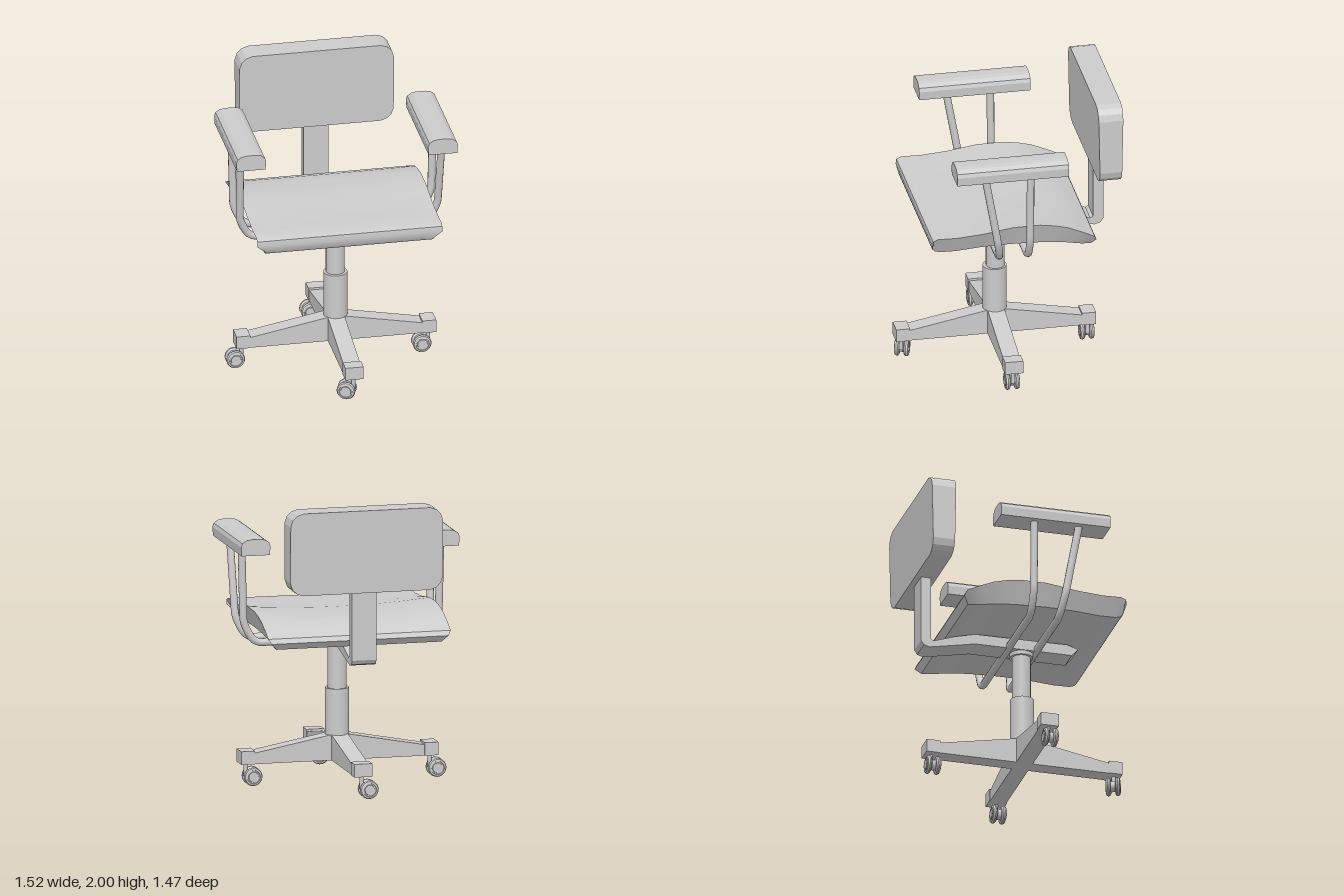
import * as THREE from 'three';
import { toCreasedNormals } from 'three/addons/utils/BufferGeometryUtils.js';

const grey = new THREE.MeshStandardMaterial({ color: 0xcccccc });
const V = (x, y, z) => new THREE.Vector3(x, y, z);

function add(parent, geo, name, x = 0, y = 0, z = 0) {
  const mesh = new THREE.Mesh(geo, grey);
  mesh.name = name;
  mesh.position.set(x, y, z);
  parent.add(mesh);
  return mesh;
}

// Extrude an outline along z, centred on z = 0
function slab(points, depth) {
  const shape = new THREE.Shape(points.map(p => new THREE.Vector2(p[0], p[1])));
  return new THREE.ExtrudeGeometry(shape, { depth, bevelEnabled: false }).translate(0, 0, -depth / 2);
}

// Extrude a (z, y) side outline across x
const sideSlab = (points, width) =>
  slab(points.map(([z, y]) => [-z, y]), width).rotateY(Math.PI / 2);

// Seat cushion: a wavy side profile swept across x, dished on top, narrower below
function seatGeometry() {
  const top = [[0.59, 1.14], [0.585, 1.175], [0.55, 1.19], [0.42, 1.187], [0.24, 1.2], [0.12, 1.218], [0.03, 1.23],
    [-0.15, 1.23], [-0.25, 1.215], [-0.34, 1.192], [-0.45, 1.145], [-0.525, 1.108]];
  const bottom = [[0.58, 1.09], [0.565, 1.075], [0.53, 1.064], [0.42, 1.062], [0.24, 1.075], [0.12, 1.078], [0.03, 1.078],
    [-0.15, 1.072], [-0.25, 1.065], [-0.34, 1.053], [-0.44, 1.035], [-0.505, 1.03]];
  const n = top.length, steps = 12, ring = 2 * n + 1, pos = [], idx = [];
  for (let s = 0; s <= steps; s++) {
    const u = (s / steps) * 2 - 1;
    top.forEach(([z, y]) => {
      const dish = 0.03 * (1 - u * u) * THREE.MathUtils.smoothstep(y, 1.18, 1.23);
      pos.push(u * 0.635, y - dish, z);
    });
    pos.push(u * 0.615, 1.075, -0.54);
    [...bottom].reverse().forEach(([z, y]) => pos.push(u * 0.575, y, z));
  }
  for (let s = 0; s < steps; s++) {
    for (let i = 0; i < ring; i++) {
      const a = s * ring + i, b = s * ring + (i + 1) % ring;
      idx.push(a, a + ring, b, b, a + ring, b + ring);
    }
  }
  // Side walls join each top point to the bottom point below it
  const end = steps * ring;
  for (let i = 0; i < n - 1; i++) {
    const a = i, b = i + 1, c = ring - 1 - i, d = ring - 2 - i;
    idx.push(a, b, c, b, d, c);
    idx.push(end + a, end + c, end + b, end + b, end + c, end + d);
  }
  idx.push(n - 1, n, n + 1, end + n - 1, end + n + 1, end + n);
  const geo = new THREE.BufferGeometry();
  geo.setAttribute('position', new THREE.Float32BufferAttribute(pos, 3));
  geo.setIndex(idx);
  return toCreasedNormals(geo, 0.6);
}

// Backrest: chamfer-cornered pad, slightly thicker towards the top
function backrestGeometry() {
  const w = 0.53, h = 0.283, corner = [[0.09, 0], [0.045, 0.015], [0.015, 0.045], [0, 0.09]];
  const quarter = corner.map(([dx, dy]) => [w - dx, h - dy]);
  const rev = [...quarter].reverse();
  const outline = [
    ...rev,
    ...quarter.map(([x, y]) => [-x, y]),
    ...rev.map(([x, y]) => [-x, -y]),
    ...quarter.map(([x, y]) => [x, -y]),
  ];
  const geo = slab(outline, 0.16), p = geo.attributes.position;
  for (let i = 0; i < p.count; i++) {
    p.setZ(i, p.getZ(i) * (1 + 0.07 * p.getY(i) / h));
  }
  geo.computeVertexNormals();
  return geo;
}

// One U-shaped tube carrying both armrests
function armTube(topZ, lowZ) {
  const path = new THREE.CurvePath();
  const at = (x, y) => V(x, y, lowZ + (topZ - lowZ) * (y - 1) / 0.65);
  const half = [at(0.692, 1.67), at(0.682, 1.23), at(0.675, 1.14), at(0.615, 1.025), at(0.57, 1)];
  const other = half.map(p => V(-p.x, p.y, p.z));
  path.add(new THREE.LineCurve3(half[0], half[1]));
  path.add(new THREE.CatmullRomCurve3(half.slice(1)));
  path.add(new THREE.LineCurve3(half[4], other[4]));
  path.add(new THREE.CatmullRomCurve3(other.slice(1).reverse()));
  path.add(new THREE.LineCurve3(other[1], other[0]));
  return new THREE.TubeGeometry(path, 100, 0.026, 10, false);
}

// Twin-wheel caster trailing towards -x
function caster() {
  const g = new THREE.Group();
  g.name = 'caster';
  const profile = [[0, -0.012], [0.05, -0.014], [0.062, -0.006], [0.064, 0.004], [0.058, 0.016], [0.046, 0.02],
    [0.044, 0.014], [0.036, 0.014], [0.034, 0.021], [0, 0.021]].map(p => new THREE.Vector2(...p));
  const wheel = toCreasedNormals(new THREE.LatheGeometry(profile, 20), 0.6);
  for (const s of [1, -1]) {
    add(g, wheel, 'casterWheel', -0.045, 0.064, s * 0.029).rotation.x = s * Math.PI / 2;
  }
  add(g, new THREE.CylinderGeometry(0.036, 0.036, 0.04, 16).rotateX(Math.PI / 2), 'casterHub', -0.045, 0.064, 0);
  add(g, new THREE.CylinderGeometry(0.014, 0.014, 0.1, 12), 'casterStem', 0, 0.115, 0);
  return g;
}

export function createModel() {
  const chair = new THREE.Group();
  chair.name = 'officeChair';

  // Four-legged base with casters
  const base = new THREE.Group();
  base.name = 'base';
  base.position.set(-0.005, 0, 0.04);
  chair.add(base);
  const leg = slab([[0, 0.155], [0.62, 0.155], [0.62, 0.225], [0.06, 0.33], [0, 0.33]], 0.115);
  for (let i = 0; i < 4; i++) {
    const a = i * Math.PI / 2, dx = Math.cos(a), dz = -Math.sin(a);
    add(base, leg, 'baseLeg').rotation.y = a;
    add(base, new THREE.BoxGeometry(0.095, 0.09, 0.125), 'legEnd', dx * 0.638, 0.2, dz * 0.638).rotation.y = a;
    const c = caster();
    c.position.set(dx * 0.64, 0, dz * 0.64);
    if (i === 3) c.rotation.y = -0.35;
    base.add(c);
  }

  // Gas column
  add(chair, new THREE.CylinderGeometry(0.081, 0.081, 0.325, 24), 'columnSleeve', 0, 0.4825, 0.04);
  add(chair, new THREE.CylinderGeometry(0.064, 0.064, 0.38, 24), 'columnPiston', 0, 0.8, 0.035);
  add(chair, new THREE.CylinderGeometry(0.08, 0.08, 0.03, 24), 'columnCollar', 0, 0.972, 0.035);

  // Bent flat bar running under the seat and up to the backrest
  const bar = [[0.41, 1.035], [0.365, 0.985], [-0.31, 0.985], [-0.46, 0.955], [-0.63, 0.922], [-0.67, 0.935],
    [-0.69, 0.965], [-0.69, 1.5], [-0.62, 1.5], [-0.62, 0.985], [-0.6, 0.972], [-0.45, 1.022], [-0.31, 1.056], [0.33, 1.06]];
  add(chair, sideSlab(bar, 0.17), 'backSupportBar');

  // Cushions
  add(chair, seatGeometry(), 'seat', -0.01, 0, 0);
  add(chair, backrestGeometry(), 'backrest', -0.005, 1.717, -0.656);

  // Arms
  add(chair, armTube(0.24, 0.125), 'frontArmTube');
  add(chair, armTube(-0.07, -0.07), 'rearArmTube');
  const pad = slab([[-0.098, 0], [0.098, 0], [0.102, 0.06], [0.093, 0.086], [0.065, 0.105], [0.03, 0.111],
    [-0.03, 0.111], [-0.065, 0.105], [-0.093, 0.086], [-0.102, 0.06]], 0.765);
  for (const s of [1, -1]) add(chair, pad, s > 0 ? 'leftArmrest' : 'rightArmrest', s * 0.658, 1.645, 0.0625);

  return chair;
}
